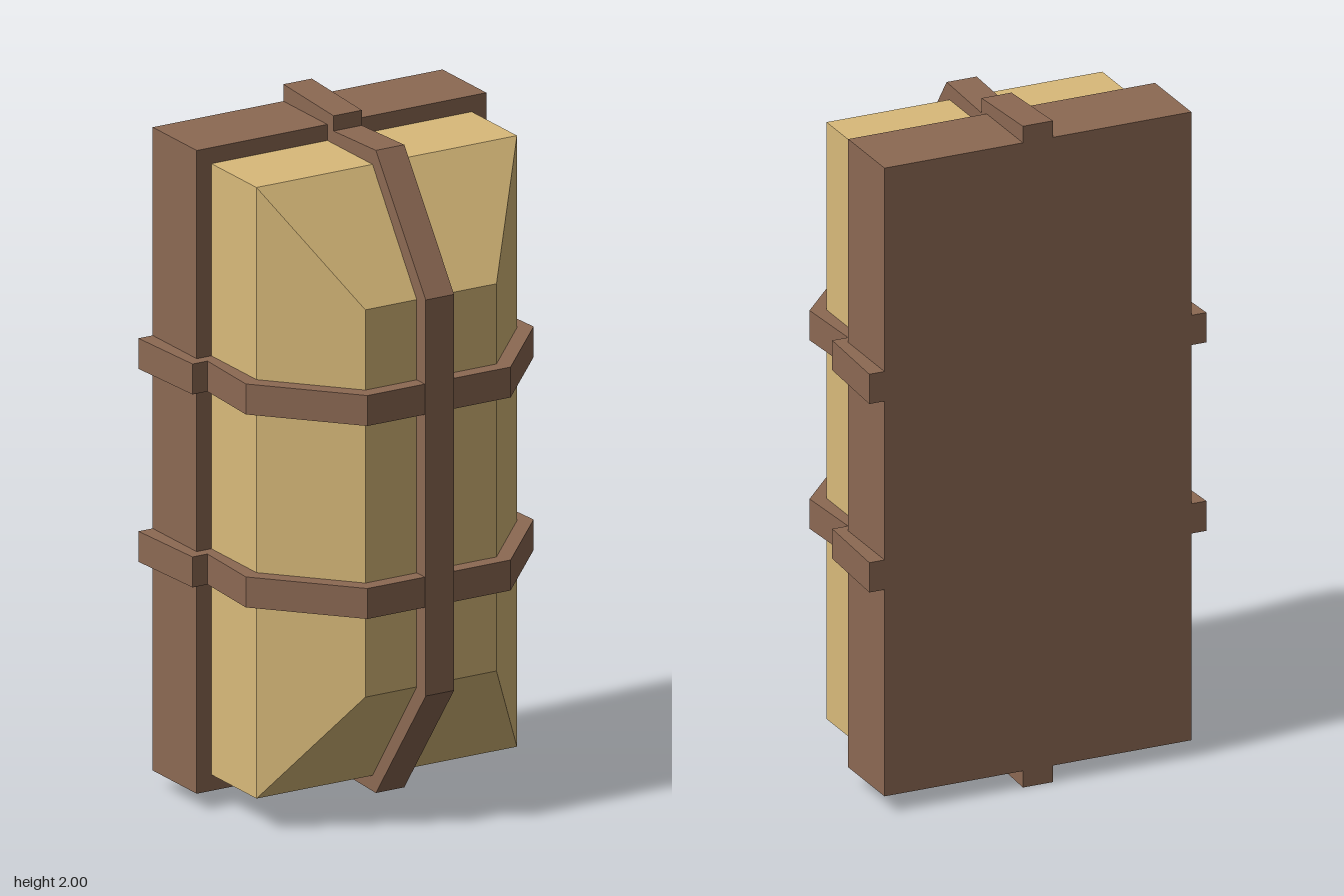
import * as THREE from 'three';

const wood = new THREE.MeshStandardMaterial({ color: 0x8c6953 });
wood.name = 'brown wood';
const cloth = new THREE.MeshStandardMaterial({ color: 0xd9ba7a });
cloth.name = 'tan panel';

// Solid strap: a mirrored half outline of [side, z] points, extruded to a width
function strapGeometry(half, width) {
  const mirrored = half.map(([a, z]) => [-a, z]).reverse();
  const shape = new THREE.Shape([...half, ...mirrored].map(([a, z]) => new THREE.Vector2(a, z)));
  const geo = new THREE.ExtrudeGeometry(shape, { depth: width, bevelEnabled: false });
  geo.translate(0, 0, -width / 2);
  geo.rotateX(Math.PI / 2); // outline depth becomes z, width becomes y
  return geo;
}

export function createModel() {
  const group = new THREE.Group();
  const add = (name, geo, material, y) => {
    const mesh = new THREE.Mesh(geo, material);
    mesh.name = name;
    mesh.position.y = y;
    group.add(mesh);
  };

  // Back slab
  const slab = new THREE.BoxGeometry(0.95, 1.9, 0.235);
  slab.translate(0, 0, -0.2625);
  add('backSlab', slab, wood, 1);

  // Panel body: straight sides, then a front that tapers in on all four sides
  const body = new THREE.BoxGeometry(0.854, 1.805, 0.4, 1, 1, 2).toNonIndexed();
  const p = body.attributes.position;
  for (let i = 0; i < p.count; i++) {
    const z = p.getZ(i);
    if (z > 0.1) {
      p.setXYZ(i, Math.sign(p.getX(i)) * 0.215, Math.sign(p.getY(i)) * 0.572, 0.332);
    } else {
      p.setZ(i, z < -0.1 ? -0.15 : 0.096);
    }
  }
  body.computeVertexNormals();
  add('panelBody', body, cloth, 1);

  // Two straps across
  const across = [[0.522, -0.38], [0.509, -0.112], [0.46, -0.112], [0.472, 0.112], [0.235, 0.375]];
  for (const y of [0.72, 1.29]) add('crossStrap', strapGeometry(across, 0.09), wood, y);

  // One strap running over the top, front and bottom
  const along = [[1, -0.38], [0.985, -0.112], [0.94, -0.112], [0.949, 0.114], [0.585, 0.38]];
  add('longStrap', strapGeometry(along, 0.093).rotateZ(Math.PI / 2), wood, 1);

  return group;
}
